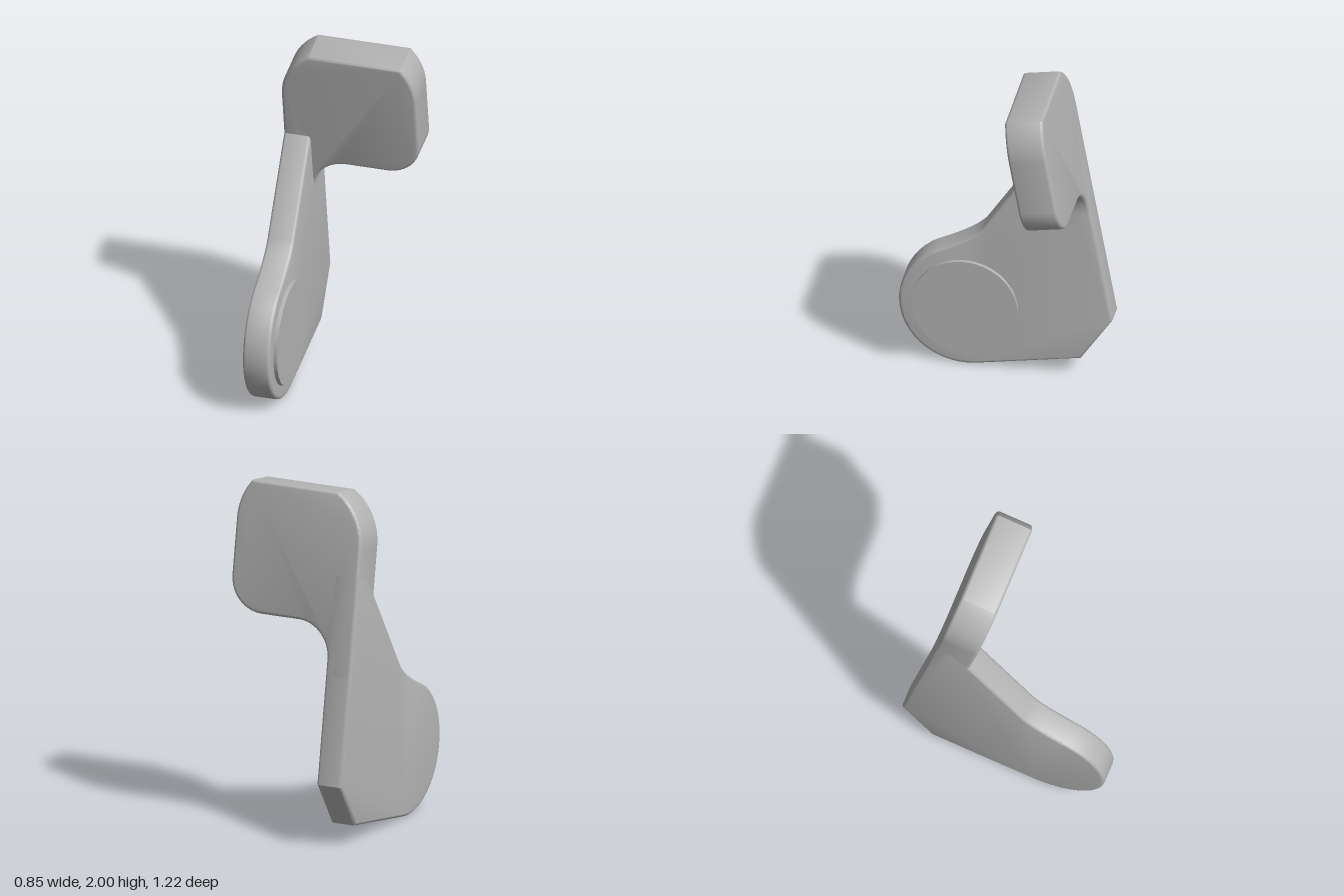
import * as THREE from 'three';
import { toCreasedNormals } from 'three/addons/utils/BufferGeometryUtils.js';

const BEVEL = 0.018;
const LEFT = -0.322, RIGHT = -0.165;   // side faces of the arm plate
const BACK = -0.82, FRONT = -0.6;      // faces of the tab

// Extrude a shape to an exact thickness with small rounded edges
function slab(shape, thickness) {
  const geo = new THREE.ExtrudeGeometry(shape, {
    depth: thickness - 2 * BEVEL,
    bevelSize: BEVEL, bevelOffset: -BEVEL, bevelThickness: BEVEL, bevelSegments: 3,
    curveSegments: 24,
  });
  geo.translate(0, 0, BEVEL);
  return geo;
}

export function createModel() {
  const grey = new THREE.MeshStandardMaterial({ color: 0xb4b4b4 });
  grey.name = 'plain grey';

  const model = new THREE.Group();
  model.name = 'leverBracket';
  const add = (name, geo) => {
    const mesh = new THREE.Mesh(geo, grey);
    mesh.name = name;
    model.add(mesh);
  };

  // Arm plate: round pivot end, tapering up into the tab
  const arm = new THREE.Shape();
  arm.moveTo(BACK, -0.149);
  arm.lineTo(-0.597, -0.38);
  arm.absarc(0, 0, 0.38, -Math.PI / 2, 1.304, false);
  arm.quadraticCurveTo(-0.117, 0.425, -0.19, 0.495);
  arm.lineTo(FRONT, 0.93);
  arm.lineTo(-0.7, 1.035);
  arm.lineTo(BACK, 1.035);
  arm.closePath();
  const armGeo = slab(arm, RIGHT - LEFT);
  armGeo.rotateY(-Math.PI / 2);
  armGeo.translate(RIGHT, 0, 0);
  add('armPlate', toCreasedNormals(armGeo, 0.6));

  // Tab: rounded pad with a flat cut top and a fillet down to the arm
  const tab = new THREE.Shape();
  tab.moveTo(LEFT, 0.45);
  tab.lineTo(RIGHT, 0.45);
  tab.absarc(RIGHT + 0.2, 0.557, 0.2, Math.PI, Math.PI / 2, true);
  tab.absarc(0.265, 0.957, 0.2, -Math.PI / 2, 0, false);
  tab.absarc(0.115, 1.277, 0.35, 0, Math.asin(0.223 / 0.35), false);
  tab.absarc(LEFT + 0.35, 1.199, 0.35, Math.PI - Math.asin(0.301 / 0.35), Math.PI, false);
  tab.closePath();
  const tabGeo = slab(tab, FRONT - BACK);
  tabGeo.translate(0, 0, BACK);
  add('tab', toCreasedNormals(tabGeo, 0.6));

  // Raised pivot disc on the arm's inner side
  const disc = new THREE.CylinderGeometry(0.3, 0.3, 0.04, 64);
  disc.rotateZ(Math.PI / 2);
  disc.translate(-0.163, 0, 0);
  add('pivotDisc', disc);

  // Lean and turn the whole part about the pivot
  const tilt = THREE.MathUtils.degToRad(10);
  model.rotation.set(tilt, tilt, 0, 'YXZ');
  model.position.set(0.033, 0.38, 0.185);

  const root = new THREE.Group();
  root.name = 'model';
  root.add(model);
  return root;
}
